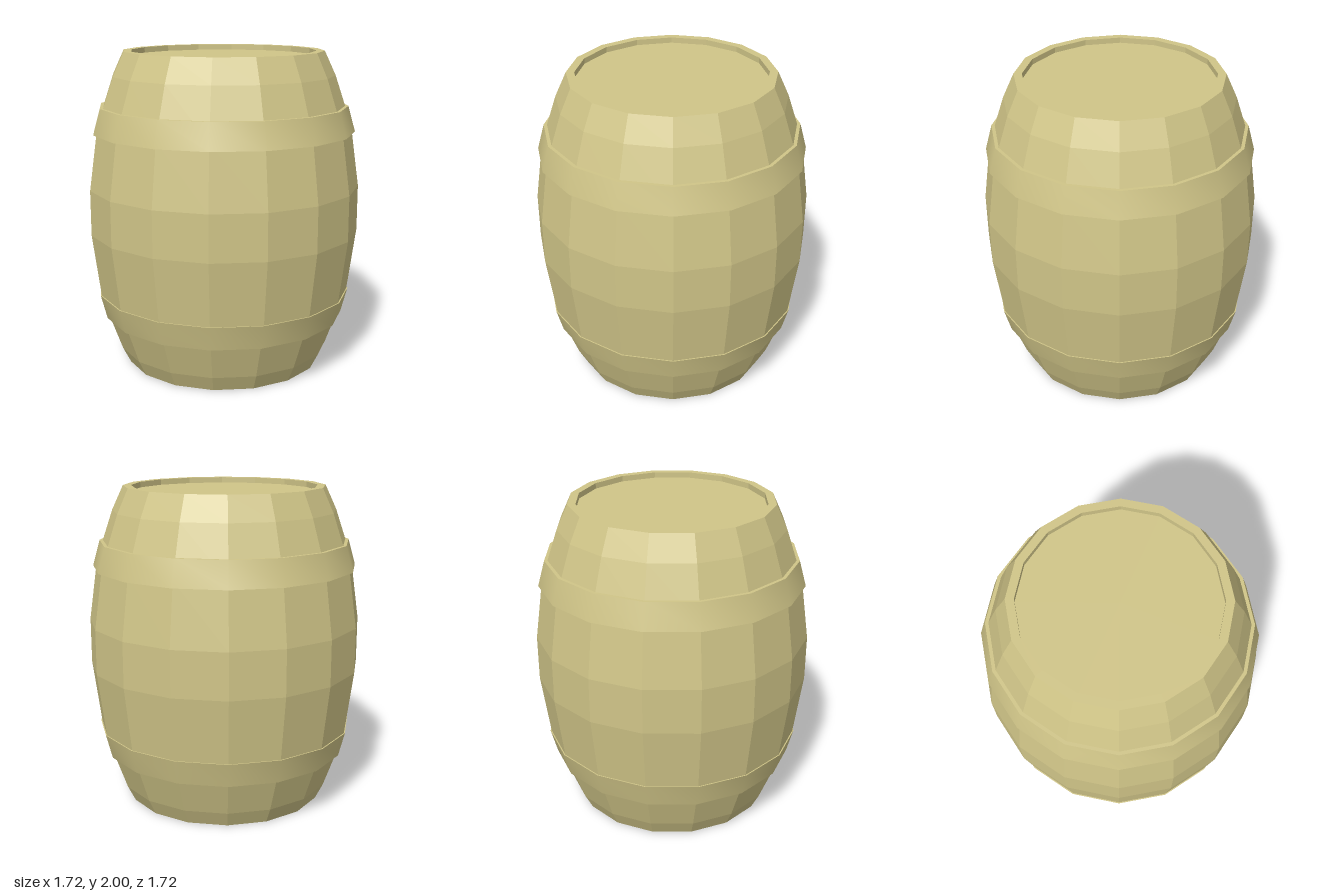
import * as THREE from 'three';
import { toCreasedNormals } from 'three/addons/utils/BufferGeometryUtils.js';

const SIDES = 16;
const wood = new THREE.MeshStandardMaterial({ color: 0xd0c588, flatShading: true });
const hoop = new THREE.MeshStandardMaterial({ color: 0xd0c588 });

// Revolve a list of [radius, height] pairs around the y axis
function lathe(profile) {
  return new THREE.LatheGeometry(profile.map(([r, y]) => new THREE.Vector2(r, y)), SIDES);
}

export function createModel() {
  const barrel = new THREE.Group();
  barrel.name = 'barrel';

  // Faceted staves, rim and recessed lid in one closed profile
  const body = new THREE.Mesh(lathe([
    [0, 0], [0.63, 0], [0.68, 0.1], [0.805, 0.45], [0.86, 0.87],
    [0.86, 1.155], [0.805, 1.54], [0.7, 1.85], [0.63, 2],
    [0.58, 2], [0.58, 1.965], [0, 1.965],
  ]), wood);
  body.name = 'body';
  barrel.add(body);

  // Smooth hoops: bottom radius and height, top radius and height
  const hoops = [
    ['lowerHoop', 0.775, 0.315, 0.815, 0.47],
    ['upperHoop', 0.83, 1.5, 0.785, 1.66],
  ];
  for (const [name, r0, y0, r1, y1] of hoops) {
    const t = 0.05; // inner wall is buried in the staves
    const geometry = lathe([[r0 - t, y0], [r0, y0], [r1, y1], [r1 - t, y1], [r0 - t, y0]]);
    const mesh = new THREE.Mesh(toCreasedNormals(geometry, Math.PI / 4), hoop);
    mesh.name = name;
    barrel.add(mesh);
  }
  return barrel;
}
